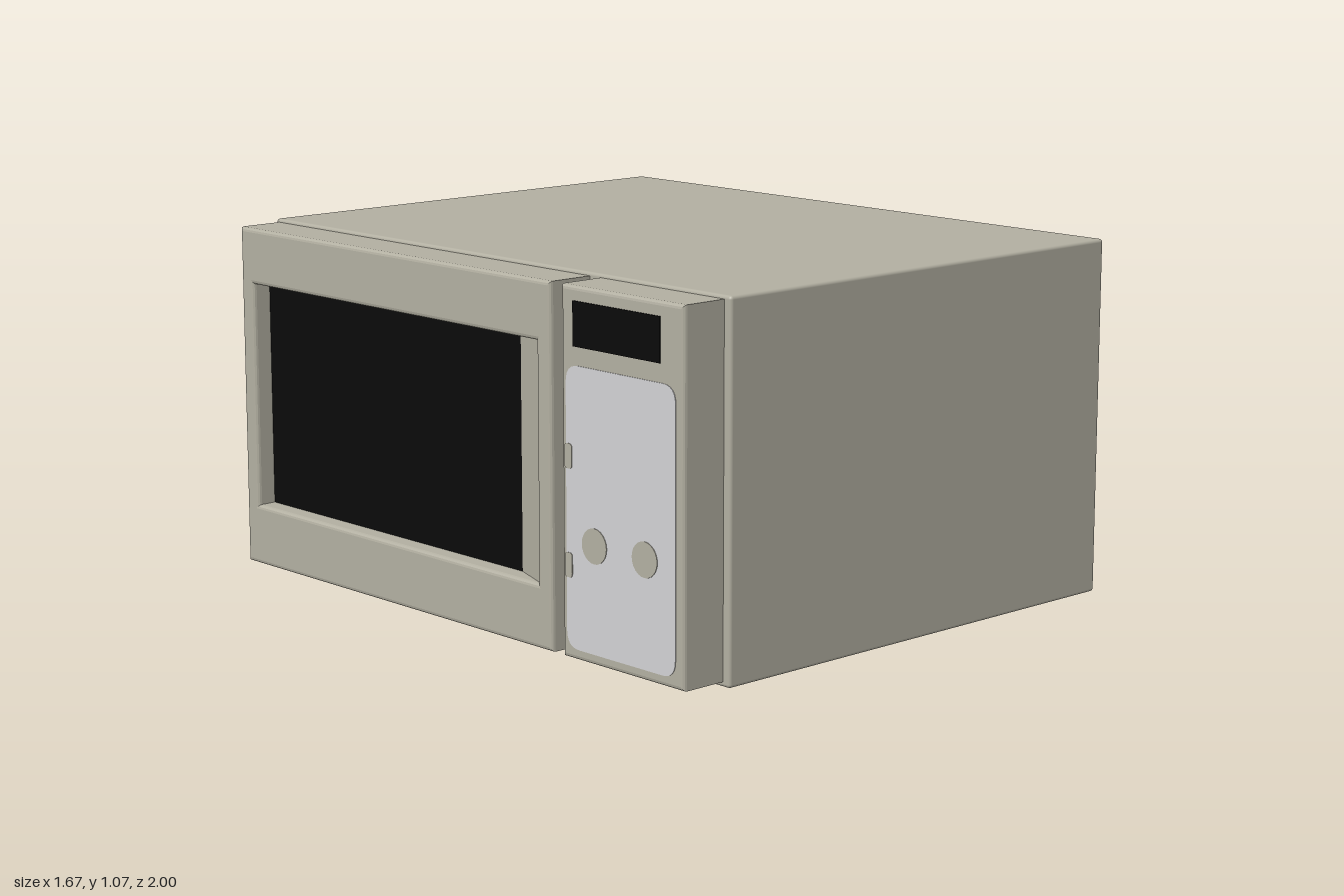
import * as THREE from 'three';
import { RoundedBoxGeometry } from 'three/addons/geometries/RoundedBoxGeometry.js';

// Microwave oven whose door and controls face -x.
export function createModel() {
  const group = new THREE.Group();
  const material = (name, color) => {
    const m = new THREE.MeshStandardMaterial({ color });
    m.name = name;
    return m;
  };
  const casing = material('casing grey', 0xb2afa1);
  const padGrey = material('keypad grey', 0xd2d2d4);
  const black = material('black glass', 0x0a0a0a);

  const add = (name, geometry, mat, x = 0, y = 0, z = 0) => {
    const mesh = new THREE.Mesh(geometry, mat);
    mesh.name = name;
    mesh.position.set(x, y, z);
    group.add(mesh);
    return mesh;
  };

  // Rectangle in the (z, y) plane, with optional corner radius
  const rect = (z0, z1, y0, y1, r = 0, Type = THREE.Shape) => {
    const s = new Type();
    s.moveTo(z0 + r, y0);
    s.lineTo(z1 - r, y0);
    if (r) s.quadraticCurveTo(z1, y0, z1, y0 + r);
    s.lineTo(z1, y1 - r);
    if (r) s.quadraticCurveTo(z1, y1, z1 - r, y1);
    s.lineTo(z0 + r, y1);
    if (r) s.quadraticCurveTo(z0, y1, z0, y1 - r);
    s.lineTo(z0, y0 + r);
    if (r) s.quadraticCurveTo(z0, y0, z0 + r, y0);
    return s;
  };

  // Extrudes a (z, y) shape towards -x
  const extrude = (shape, depth, bevel = 0) =>
    new THREE.ExtrudeGeometry(shape, {
      depth, curveSegments: 6,
      bevelEnabled: bevel > 0, bevelSize: bevel, bevelThickness: bevel,
      bevelOffset: -bevel, bevelSegments: 3,
    }).rotateY(-Math.PI / 2);

  // Casing
  add('casing', new RoundedBoxGeometry(1.52, 1.065, 2, 3, 0.01), casing, 0.07, 0.5325, 0);

  // Door frame with window opening
  const bevel = 0.012;
  const frame = rect(-0.985, 0.445, 0.015, 1.055);
  frame.holes.push(rect(-0.925, 0.385, 0.2, 0.885, 0, THREE.Path));
  add('doorFrame', extrude(frame, 0.136, bevel), casing, -0.687);

  // Sloping grip on the latch side of the window
  const wedge = new THREE.Shape([
    new THREE.Vector2(-0.826, -0.39),
    new THREE.Vector2(-0.76, -0.39),
    new THREE.Vector2(-0.76, -0.21),
  ]);
  const grip = new THREE.ExtrudeGeometry(wedge, { depth: 0.695, bevelEnabled: false });
  add('doorGrip', grip.rotateX(-Math.PI / 2), casing, 0, 0.195, 0);

  // Window glass
  add('windowGlass', new THREE.BoxGeometry(0.008, 0.695, 1.32), black, -0.771, 0.5425, -0.27);

  // Control panel with display and keypad
  add('controlPanel', extrude(rect(0.49, 0.975, 0.015, 1.055), 0.136, bevel), casing, -0.687);
  add('display', extrude(rect(0.54, 0.885, 0.89, 1.015), 0.005), black, -0.833);
  add('keypad', extrude(rect(0.51, 0.945, 0.045, 0.838, 0.05), 0.004), padGrey, -0.833);

  // Round buttons
  for (const [z, y] of [[0.625, 0.35], [0.826, 0.35]]) {
    const disc = new THREE.CylinderGeometry(0.05, 0.05, 0.004, 24).rotateZ(Math.PI / 2);
    add('button', disc, casing, -0.837, y, z);
  }

  // Small notches along the keypad edge
  for (const y of [0.28, 0.585]) {
    add('keypadNotch', extrude(rect(0.505, 0.535, y - 0.035, y + 0.035, 0.012), 0.006), casing, -0.833);
  }

  return group;
}
